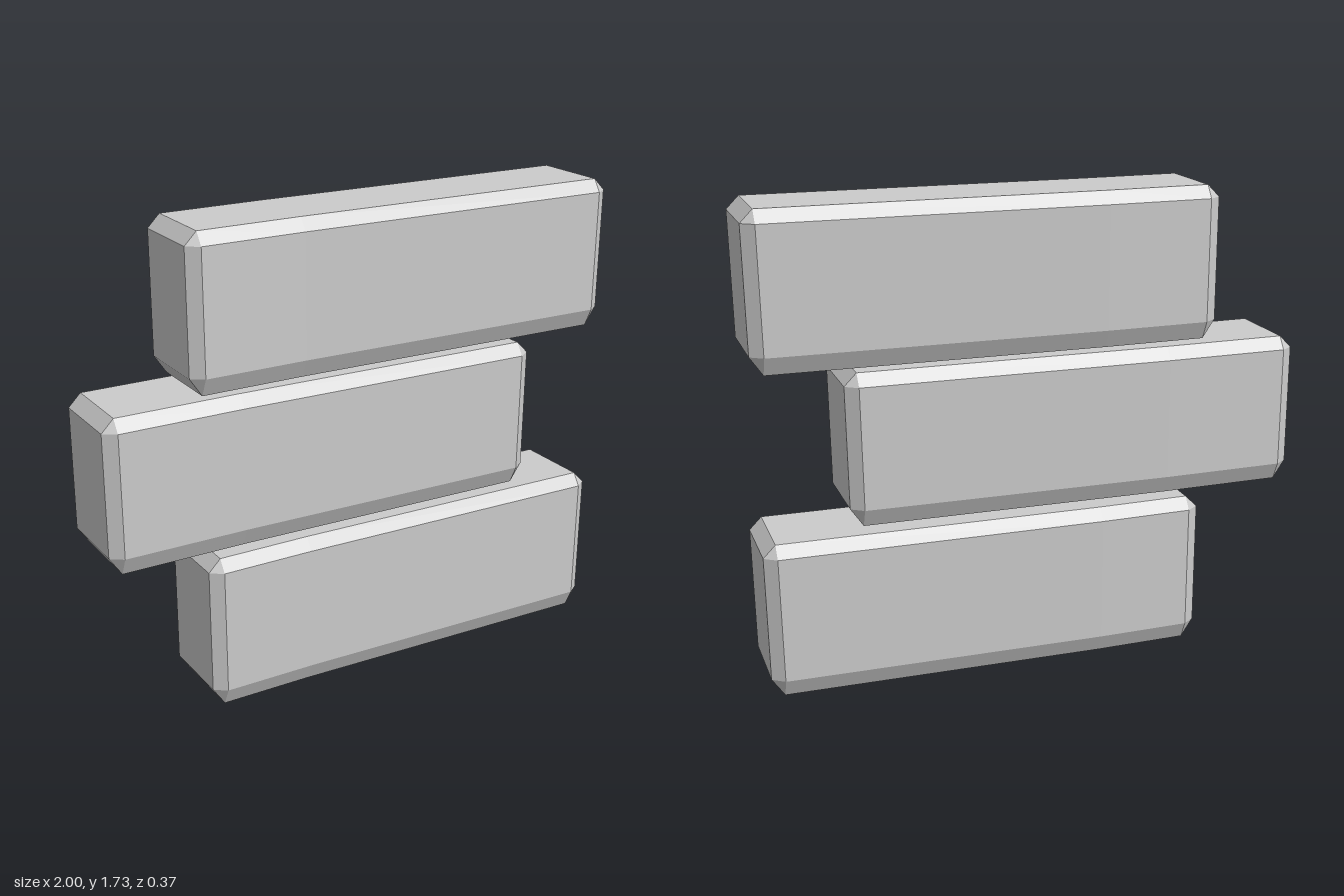
import * as THREE from 'three';

const material = new THREE.MeshStandardMaterial({ color: 0xcccccc, flatShading: true });
const HALF_DEPTH = 0.175, EDGE = 0.032, TOP_BEVEL = 0.045, BOTTOM_BEVEL = 0.067, END_BEVEL = 0.045;

// Bevelled cross-section; an end section shrinks to the inset rectangle of the end face
function section(x, bottom, top, zMid, lean, isEnd) {
  const back = zMid - HALF_DEPTH, front = zMid + HALF_DEPTH;
  const b = back + EDGE, f = front - EDGE;
  const yt = top - TOP_BEVEL, yb = bottom + BOTTOM_BEVEL;
  const points = isEnd
    ? [[yt, b], [yt, f], [yt, f], [yb, f], [yb, f], [yb, b], [yb, b], [yt, b]]
    : [[top, b], [top, f], [yt, front], [yb, front], [bottom, f], [bottom, b], [yb, back], [yt, back]];
  return points.map(([y, z]) => new THREE.Vector3(x - lean * (top - y) / (top - bottom), y, z));
}

// Brick lofted along x, with a slight kink at xBend
function brick(name, x0, x1, bottom, top, xBend) {
  const rings = [
    section(x0, bottom, top, -0.005, 0, true),
    section(x0 + END_BEVEL, bottom, top, -0.006, 0, false),
    section(xBend, bottom, top, -0.011, 0, false),
    section(x1 - END_BEVEL, bottom, top, 0.006, 0.008, false),
    section(x1, bottom, top, 0.006, 0.008, true),
  ];
  const triangles = [];
  const tri = (a, b, c) => {
    if (new THREE.Triangle(a, b, c).getArea() > 1e-7) triangles.push(a, b, c);
  };
  for (let i = 0; i < rings.length - 1; i++) {
    for (let j = 0; j < 8; j++) {
      const k = (j + 1) % 8;
      tri(rings[i][j], rings[i][k], rings[i + 1][k]);
      tri(rings[i][j], rings[i + 1][k], rings[i + 1][j]);
    }
  }
  // End faces
  const left = rings[0], right = rings[rings.length - 1];
  for (let j = 1; j < 7; j++) {
    tri(left[0], left[j + 1], left[j]);
    tri(right[0], right[j], right[j + 1]);
  }
  const geometry = new THREE.BufferGeometry().setFromPoints(triangles);
  geometry.computeVertexNormals();
  const mesh = new THREE.Mesh(geometry, material);
  mesh.name = name;
  return mesh;
}

export function createModel() {
  const group = new THREE.Group();
  group.name = 'brickStack';
  group.add(
    brick('bottomBrick', -0.64, 0.983, 0, 0.572, -0.25),
    brick('middleBrick', -1, 0.68, 0.603, 1.157, -0.5),
    brick('topBrick', -0.685, 1, 1.175, 1.73, -0.26),
  );
  return group;
}
